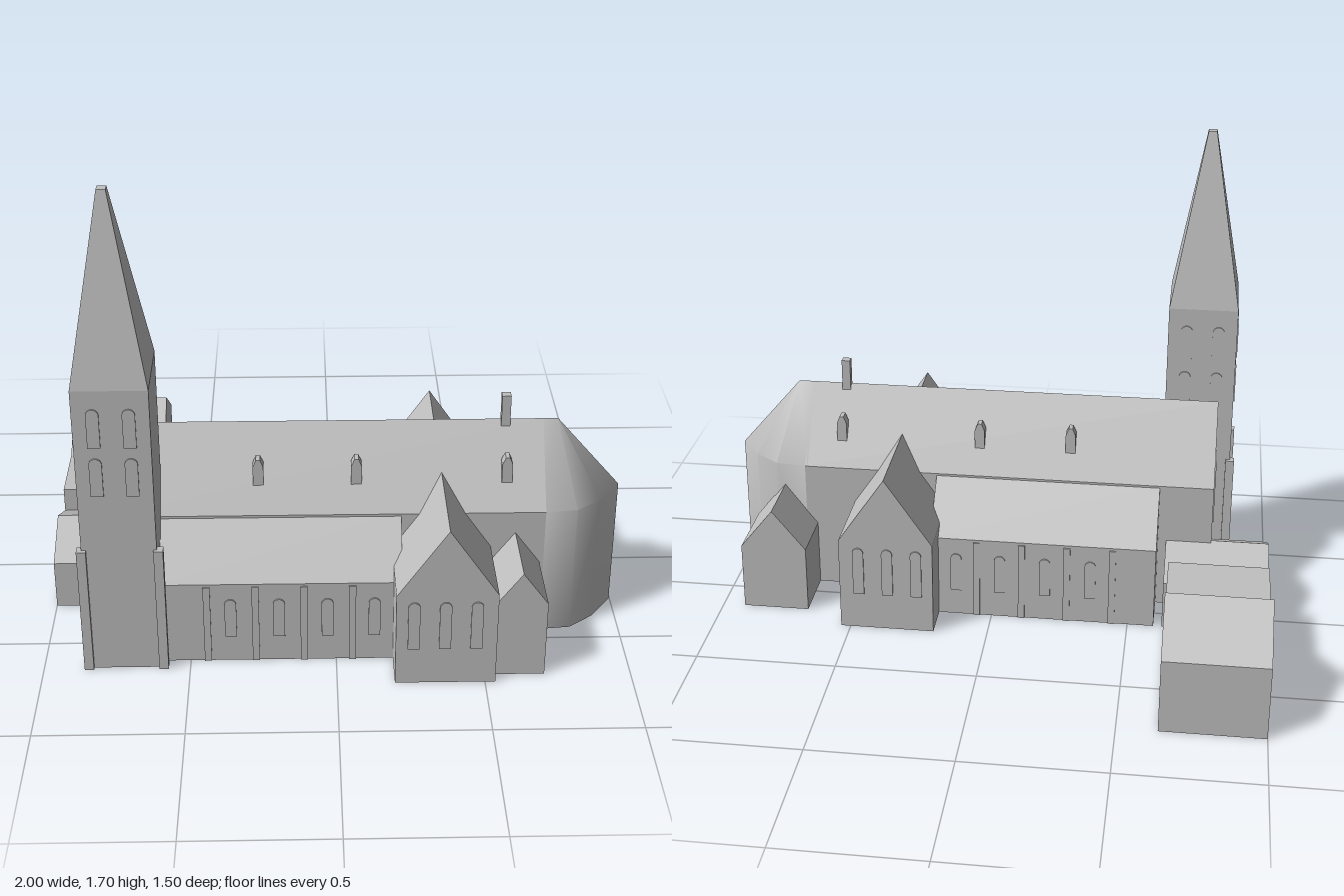
import * as THREE from 'three';
import { toCreasedNormals } from 'three/addons/utils/BufferGeometryUtils.js';
import { ConvexGeometry } from 'three/addons/geometries/ConvexGeometry.js';

export function createModel() {
  const church = new THREE.Group();
  church.name = 'church';
  const stone = new THREE.MeshStandardMaterial({ color: 0xc0c0c0 });
  stone.name = 'pale grey stone';
  const AXIS = 0.265; // z of the nave ridge

  const add = (name, geometry) => {
    const mesh = new THREE.Mesh(geometry, stone);
    mesh.name = name;
    church.add(mesh);
    return mesh;
  };

  const box = (name, x0, x1, y0, y1, z0, z1) =>
    add(name, new THREE.BoxGeometry(x1 - x0, y1 - y0, z1 - z0)
      .translate((x0 + x1) / 2, (y0 + y1) / 2, (z0 + z1) / 2));

  const extrude = (points, depth) => new THREE.ExtrudeGeometry(
    new THREE.Shape(points.map(([u, v]) => new THREE.Vector2(u, v))), { depth, bevelEnabled: false });

  // Profile of [z, y] points swept along x
  const alongX = (name, x0, x1, profile) =>
    add(name, extrude(profile.map(([z, y]) => [-z, y]), x1 - x0).rotateY(Math.PI / 2).translate(x0, 0, 0));

  // Profile of [x, y] points swept along z
  const alongZ = (name, z0, z1, profile) =>
    add(name, extrude(profile, z1 - z0).translate(0, 0, z0));

  const gable = (a, b, eave, ridge, base = 0) =>
    [[a, base], [b, base], [b, eave], [(a + b) / 2, ridge], [a, eave]];

  // Thin round-headed plate; turn is the angle its face points to
  const arch = (name, x, y0, z, width, height, turn) => {
    const r = width / 2;
    const shape = new THREE.Shape();
    shape.moveTo(-r, 0);
    shape.lineTo(r, 0);
    shape.lineTo(r, height - r);
    shape.absarc(0, height - r, r, 0, Math.PI, false);
    shape.lineTo(-r, 0);
    const mesh = add(name, new THREE.ExtrudeGeometry(shape,
      { depth: 0.005, bevelEnabled: false, curveSegments: 8 }));
    mesh.position.set(x, y0, z);
    mesh.rotation.y = turn;
  };
  const FRONT = 0, BACK = Math.PI, WEST = -Math.PI / 2;

  // Nave
  alongX('nave', -0.79, 0.72, gable(0.08, 0.45, 0.485, 0.75));
  arch('westWindow', -0.79, 0.3, 0.225, 0.09, 0.27, WEST);

  // Rounded apse with its pointed roof
  const plan = [[0.71, 0.185], [0.83, 0.172], [0.92, 0.105], [0.997, 0]];
  const apsePoints = [new THREE.Vector3(0.71, 0.75, AXIS), new THREE.Vector3(0.77, 0.75, AXIS)];
  for (const [x, dz] of plan)
    for (const side of [-1, 1])
      for (const y of [0, 0.485]) apsePoints.push(new THREE.Vector3(x, y, AXIS + side * dz));
  add('apse', toCreasedNormals(new ConvexGeometry(apsePoints), 0.65));

  // Lean-to aisles with buttress strips and windows
  const aisles = [
    { wall: 0.605, inner: 0.44, out: 1, turn: FRONT },
    { wall: -0.09, inner: 0.09, out: -1, turn: BACK },
  ];
  for (const { wall, inner, out, turn } of aisles) {
    alongX('aisle', -0.595, 0.225, [[wall, 0], [wall, 0.31], [inner, 0.487], [inner, 0]]);
    for (const x of [-0.44, -0.275, -0.11, 0.055]) {
      const z = wall + out * 0.005;
      box('buttressStrip', x - 0.012, x + 0.012, 0, 0.3, Math.min(wall, z), Math.max(wall, z));
    }
    for (const x of [-0.36, -0.195, -0.03, 0.13])
      arch('aisleWindow', x, 0.1, wall, 0.04, 0.15, turn);
  }

  // Transept crossing the nave
  alongZ('transept', -0.228, 0.745, gable(0.195, 0.535, 0.35, 0.6));
  for (const x of [0.255, 0.36, 0.465]) {
    arch('transeptWindow', x, 0.14, 0.745, 0.04, 0.185, FRONT);
    arch('transeptWindow', x, 0.14, -0.228, 0.04, 0.185, BACK);
  }

  // Side chapels
  alongZ('frontChapel', 0.4, 0.705, gable(0.53, 0.706, 0.285, 0.405));
  alongZ('backChapel', -0.133, 0.12, gable(0.68, 0.92, 0.25, 0.4));

  // Tower and spire
  const towerX = -0.72, towerZ = 0.498;
  box('tower', -0.845, -0.595, 0, 1.07, 0.356, 0.64);
  const spire = add('spire', new THREE.CylinderGeometry(0.015 * Math.SQRT2, 0.125 * Math.SQRT2, 0.63, 4)
    .rotateY(Math.PI / 4).toNonIndexed());
  spire.geometry.computeVertexNormals();
  spire.scale.z = 0.284 / 0.25;
  spire.position.set(towerX, 1.385, towerZ);
  for (const y of [0.685, 0.865])
    for (const d of [-0.058, 0.058]) {
      arch('towerWindow', towerX + d, y, 0.64, 0.042, 0.14, FRONT);
      arch('towerWindow', towerX + d, y, 0.356, 0.042, 0.14, BACK);
      arch('towerWindow', -0.845, y, towerZ + d, 0.042, 0.14, WEST);
    }
  for (const [x, z] of [[-0.845, 0.356], [-0.845, 0.637], [-0.59, 0.637]])
    box('towerButtress', x - 0.016, x + 0.016, 0, 0.475, z - 0.016, z + 0.016);

  // Roof dormers and chimney
  for (const x of [-0.262, 0.073, 0.588])
    for (const side of [-1, 1]) {
      const z = AXIS + side * 0.107;
      alongZ('dormer', z - 0.019, z + 0.019,
        [[x - 0.018, 0.565], [x + 0.018, 0.565], [x + 0.018, 0.64], [x + 0.007, 0.667],
          [x - 0.007, 0.667], [x - 0.018, 0.64]]);
    }
  box('chimney', 0.573, 0.604, 0.7, 0.845, AXIS - 0.015, AXIS + 0.015);

  // Annex: gabled house with flat link, then a lower gabled passage
  alongX('annexHouse', -1, -0.64,
    [[-0.75, 0], [-0.75, 0.27], [-0.547, 0.41], [-0.345, 0.27], [-0.09, 0.27], [-0.09, 0]]);
  alongX('annexPassage', -1, -0.625, gable(-0.09, 0.27, 0.18, 0.27));
  arch('annexDoor', -1, 0, -0.52, 0.09, 0.14, WEST);

  return church;
}
